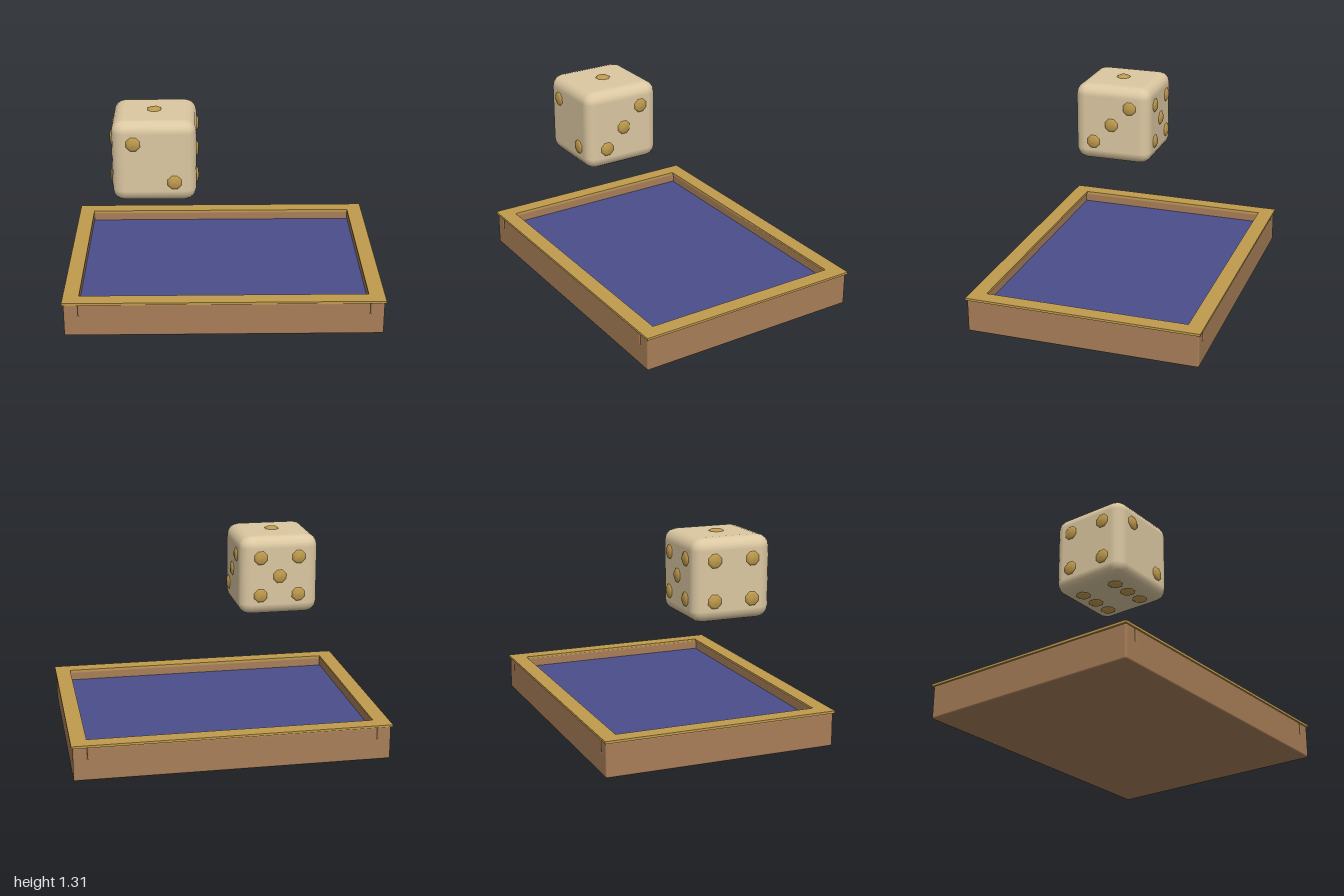
import * as THREE from 'three';
import { RoundedBoxGeometry } from 'three/addons/geometries/RoundedBoxGeometry.js';

const material = (name, color) => {
  const m = new THREE.MeshStandardMaterial({ color });
  m.name = name;
  return m;
};

export function createModel() {
  const wood = material('wood', 0xa87e58);
  const gold = material('gold', 0xc09b4c);
  const felt = material('blueFelt', 0x4b4f8b);
  const ivory = material('ivory', 0xdcc8a2);

  const model = new THREE.Group();
  model.name = 'diceTray';

  const add = (parent, name, geometry, mat, x, y, z) => {
    const mesh = new THREE.Mesh(geometry, mat);
    mesh.name = name;
    mesh.position.set(x, y, z);
    parent.add(mesh);
    return mesh;
  };

  // Tray: base slab, felt floor, four walls and a thin gilded rim
  const tray = new THREE.Group();
  tray.name = 'tray';
  model.add(tray);
  add(tray, 'base', new RoundedBoxGeometry(1.98, 0.14, 1.486, 2, 0.012), wood, 0, 0.07, 0);
  add(tray, 'feltFloor', new THREE.BoxGeometry(1.81, 0.03, 1.31), felt, 0, 0.142, 0);
  for (const s of [-1, 1]) {
    add(tray, 'sideWall', new RoundedBoxGeometry(0.088, 0.217, 1.486, 2, 0.012), wood, s * 0.947, 0.1085, 0);
    add(tray, 'endWall', new RoundedBoxGeometry(1.806, 0.217, 0.088, 2, 0.012), wood, 0, 0.1085, s * 0.699);
    add(tray, 'sideRim', new THREE.BoxGeometry(0.1, 0.015, 1.5), gold, s * 0.95, 0.2215, 0);
    add(tray, 'endRim', new THREE.BoxGeometry(1.8, 0.015, 0.1), gold, 0, 0.2215, s * 0.7);
  }

  // Floating die with rounded corners
  const half = 0.26;
  const die = new THREE.Group();
  die.name = 'die';
  die.position.set(-0.425, 1.032, 0.2);
  model.add(die);
  add(die, 'dieBody', new RoundedBoxGeometry(2 * half, 2 * half, 2 * half, 2, 0.075), ivory, 0, 0, 0);

  // Low eight-sided dome used for every pip, its axis along +y
  const dome = [[0.047, -0.008], [0.046, 0.003], [0.032, 0.012], [0, 0.015]]
    .map(([r, y]) => new THREE.Vector2(r, y));
  const pipGeometry = new THREE.LatheGeometry(dome, 8, Math.PI / 8);

  // Pip layouts: face normal, then offsets along the two remaining axes in x, y, z order
  const corners = [[-1, -1], [-1, 1], [1, -1], [1, 1]];
  const faces = [
    ['one', [0, 1, 0], [[0, 0]]],
    ['two', [0, 0, 1], [[-1, 1], [1, -1]]],
    ['three', [1, 0, 0], [[1, -1], [0, 0], [-1, 1]]],
    ['four', [-1, 0, 0], corners],
    ['five', [0, 0, -1], [...corners, [0, 0]]],
    ['six', [0, -1, 0], [...corners, [0, -1], [0, 1]]],
  ];
  const up = new THREE.Vector3(0, 1, 0);
  for (const [label, n, spots] of faces) {
    const normal = new THREE.Vector3(...n);
    const group = new THREE.Group();
    group.name = label + 'Pips';
    die.add(group);
    for (const spot of spots) {
      let i = 0;
      const p = n.map((c) => (c !== 0 ? c * half : 0.125 * spot[i++]));
      const pip = add(group, 'pip', pipGeometry, gold, ...p);
      pip.quaternion.setFromUnitVectors(up, normal);
    }
  }
  return model;
}
